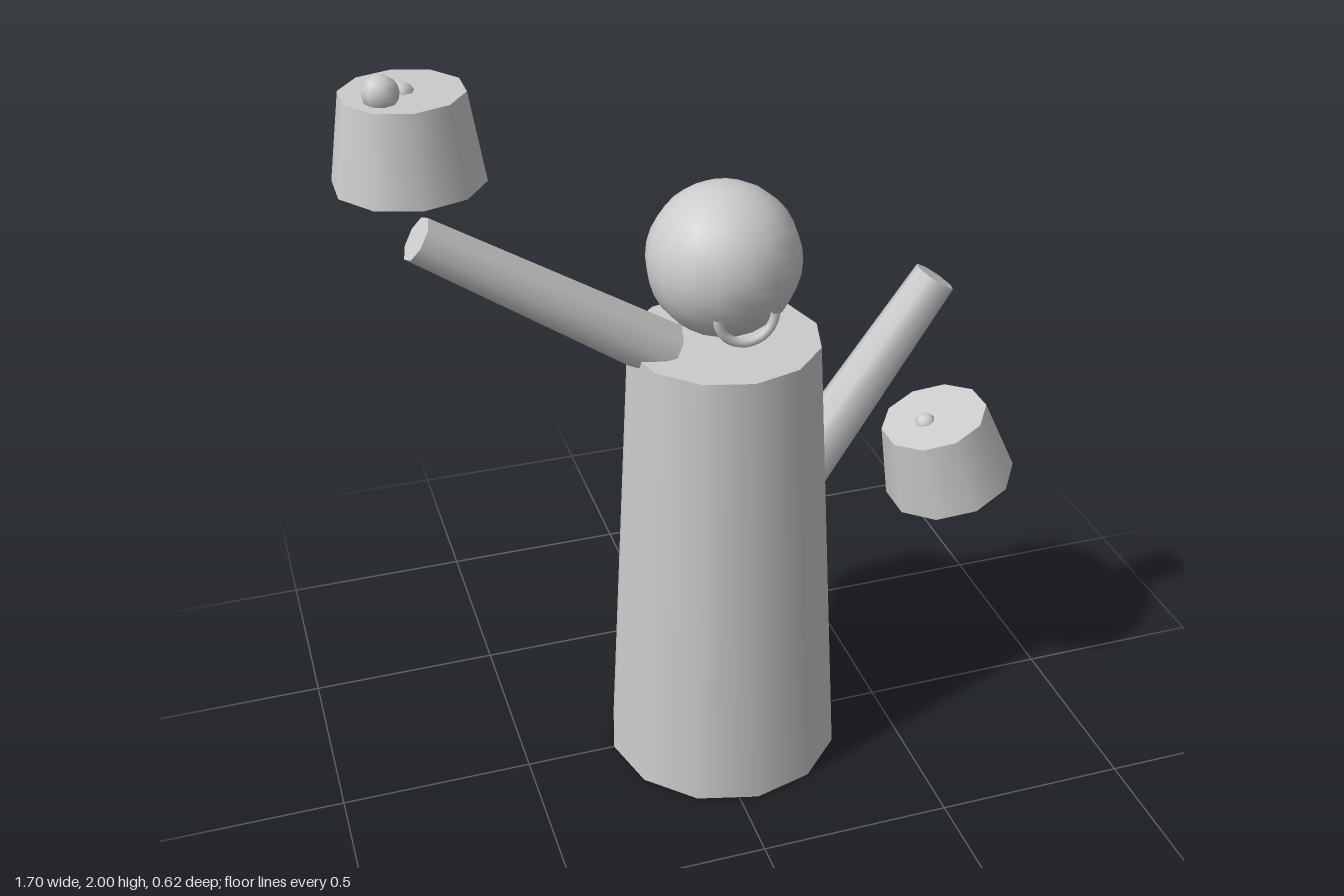
import * as THREE from 'three';

const material = new THREE.MeshStandardMaterial({ color: 0xcccccc });

export function createModel() {
  const model = new THREE.Group();

  function add(parent, name, geometry, x, y, z) {
    const mesh = new THREE.Mesh(geometry, material);
    mesh.name = name;
    mesh.position.set(x, y, z);
    parent.add(mesh);
    return mesh;
  }

  // Tapered robe, head and smile
  add(model, 'body', new THREE.CylinderGeometry(0.243, 0.31, 1.22, 12), 0.048, 0.61, 0);
  add(model, 'head', new THREE.SphereGeometry(0.19, 16, 16), 0.047, 1.435, 0);
  const smile = add(model, 'smile', new THREE.TorusGeometry(0.071, 0.012, 8, 16, Math.PI), 0.047, 1.366, 0.173);
  smile.rotation.z = Math.PI;

  // Arms taper from shoulder to hand
  function addArm(name, shoulder, hand) {
    const a = new THREE.Vector3(...shoulder);
    const b = new THREE.Vector3(...hand);
    const dir = b.clone().sub(a);
    const mid = a.clone().add(b).multiplyScalar(0.5);
    const arm = add(model, name, new THREE.CylinderGeometry(0.056, 0.075, dir.length(), 8), mid.x, mid.y, mid.z);
    arm.quaternion.setFromUnitVectors(new THREE.Vector3(0, 1, 0), dir.normalize());
  }
  addArm('rightArm', [-0.1, 1.207, 0], [-0.682, 1.59, 0]);
  addArm('leftArm', [0.212, 0.73, 0], [0.605, 1.302, 0]);

  // Floating tapered buckets with a small knob on top
  function addBucket(name, x, y, tilt, knobX) {
    const bucket = new THREE.Group();
    bucket.name = name;
    bucket.position.set(x, y, 0);
    bucket.rotation.z = tilt;
    add(bucket, 'bucketShell', new THREE.CylinderGeometry(0.14, 0.173, 0.208, 10), 0, 0, 0);
    add(bucket, 'knob', new THREE.SphereGeometry(0.028, 8, 8), knobX, 0.096, 0);
    model.add(bucket);
    return bucket;
  }
  const rightBucket = addBucket('rightBucket', -0.685, 1.836, 0, 0);
  add(rightBucket, 'ball', new THREE.SphereGeometry(0.041, 8, 8), -0.053, 0.123, 0.052);
  addBucket('leftBucket', 0.659, 0.789, 0.285, -0.026);

  return model;
}
